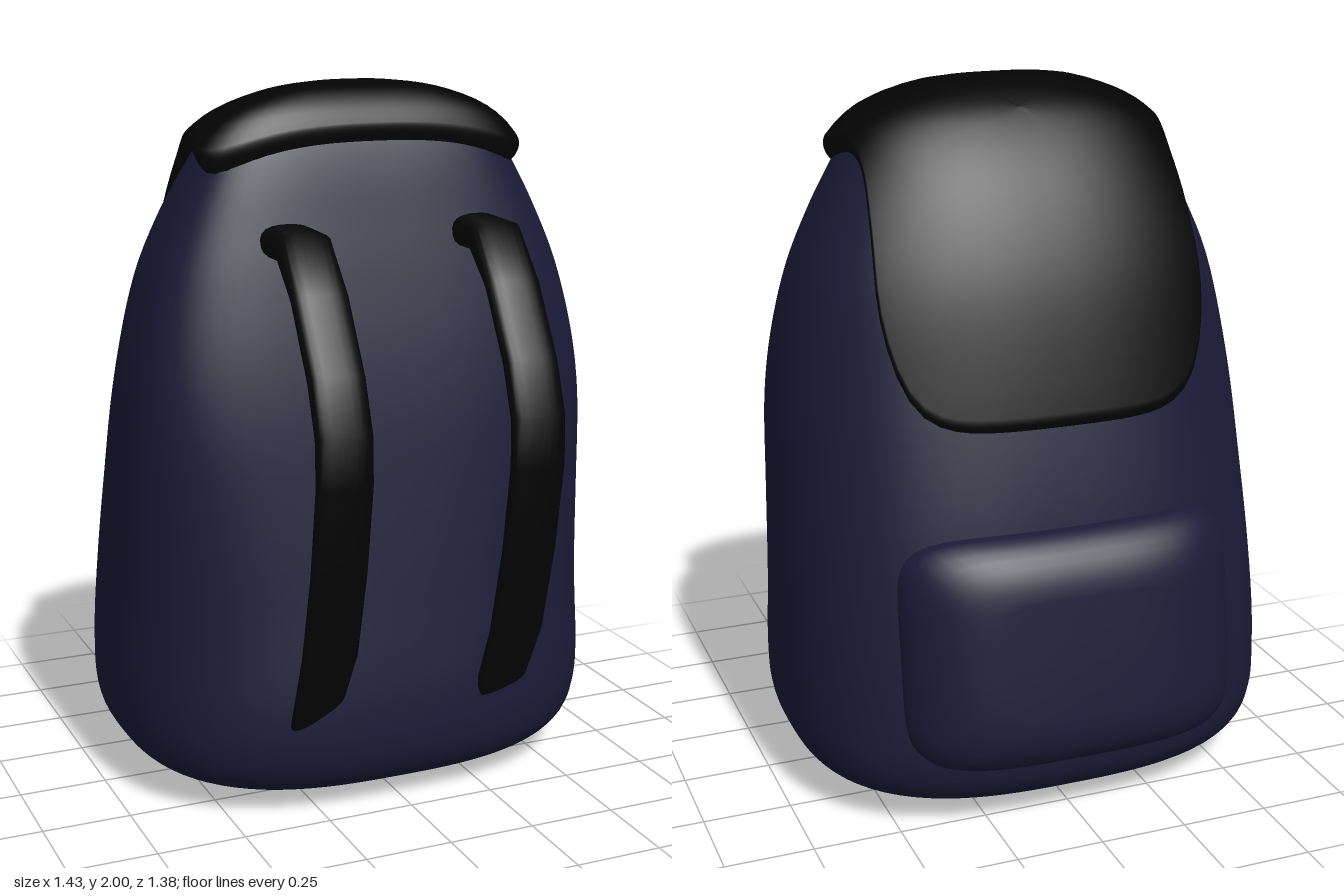
import * as THREE from 'three';
import { toCreasedNormals } from 'three/addons/utils/BufferGeometryUtils.js';

const V = (x, y, z) => new THREE.Vector3(x, y, z);

// Unit superellipse point at angle a: higher n is boxier
function squircle(a, n) {
  const c = Math.cos(a), s = Math.sin(a);
  const k = Math.pow(Math.abs(c) ** n + Math.abs(s) ** n, -1 / n);
  return [c * k, s * k];
}

// Skin over closed rings of points
function loft(rings) {
  const m = rings[0].length, pos = [], idx = [];
  rings.forEach(r => r.forEach(p => pos.push(p.x, p.y, p.z)));
  for (let i = 0; i < rings.length - 1; i++) {
    for (let j = 0; j < m; j++) {
      const a = i * m + j, b = i * m + (j + 1) % m, c = a + m, d = b + m;
      idx.push(a, c, b, b, c, d);
    }
  }
  const g = new THREE.BufferGeometry();
  g.setAttribute('position', new THREE.Float32BufferAttribute(pos, 3));
  g.setIndex(idx);
  g.computeVertexNormals();
  return g;
}

// Bag cross-sections: height, half width, front z, back z
const ROWS = [
  [0.003, 0, -0.04, -0.04], [0.009, 0.22, 0.14, -0.22], [0.023, 0.4, 0.29, -0.38],
  [0.055, 0.56, 0.41, -0.5], [0.11, 0.66, 0.475, -0.575], [0.2, 0.705, 0.5, -0.6],
  [0.35, 0.715, 0.495, -0.588], [0.6, 0.705, 0.46, -0.557], [0.85, 0.693, 0.425, -0.52],
  [1.1, 0.68, 0.39, -0.467], [1.3, 0.652, 0.355, -0.416], [1.48, 0.608, 0.316, -0.364],
  [1.63, 0.547, 0.28, -0.305], [1.75, 0.485, 0.25, -0.243], [1.84, 0.43, 0.222, -0.178],
  [1.9, 0.355, 0.195, -0.118], [1.945, 0.235, 0.15, -0.04], [1.963, 0.11, 0.1, 0.02],
  [1.967, 0, 0.06, 0.06],
];
const rise = y => THREE.MathUtils.smoothstep(y, 0.4, 1.3);
// Higher up, the front is flatter and the back rounder
const boxiness = (y, front) => 2.8 + (front ? 0.7 : -0.35) * rise(y);
const curveA = new THREE.CatmullRomCurve3(ROWS.map(r => V(r[1], r[0], r[2])), false, 'catmullrom');
const curveB = new THREE.CatmullRomCurve3(ROWS.map(r => V(r[3], r[0], 0)), false, 'catmullrom');
const SECTIONS = [];
for (let i = 0; i <= 108; i++) {
  const a = curveA.getPoint(i / 108), b = curveB.getPoint(i / 108);
  const zc = (a.z + b.x) / 2 + 0.11 * (a.z - b.x) * rise(a.y);
  SECTIONS.push({ y: a.y, w: Math.max(a.x, 0), zc, front: Math.max(a.z - zc, 0), back: Math.max(zc - b.x, 0) });
}

function insideBody(p) {
  const i = SECTIONS.findIndex(s => s.y > p.y);
  if (i < 1) return false;
  const s = SECTIONS[i - 1], e = SECTIONS[i], t = (p.y - s.y) / (e.y - s.y);
  const mix = k => s[k] + (e[k] - s[k]) * t;
  const dz = p.z - mix('zc');
  const x = Math.abs(p.x) / Math.max(mix('w'), 1e-4);
  const z = Math.abs(dz) / Math.max(mix(dz > 0 ? 'front' : 'back'), 1e-4);
  const n = boxiness(p.y, dz > 0);
  return x ** n + z ** n < 1;
}

// Point at a given height above the bag surface along a ray
function onBody(origin, dir, lift) {
  let lo = 0, hi = 1.3;
  for (let k = 0; k < 26; k++) {
    const mid = (lo + hi) / 2;
    if (insideBody(origin.clone().addScaledVector(dir, mid))) lo = mid; else hi = mid;
  }
  return origin.clone().addScaledVector(dir, lo + lift);
}

// Padded panel hugging the bag; ray(u, v) gives origin, direction and padding factor
function panel(ray, n, thick, k) {
  const steps = [];
  for (let i = 0; i <= 16; i++) steps.push([k * i / 16, thick]);
  for (let i = 1; i <= 8; i++) {
    const a = i / 8 * Math.PI / 2;
    steps.push([k + (1 - k) * Math.sin(a), thick * Math.cos(a)]);
  }
  steps.push([1, -0.025]);
  return loft(steps.map(([r, lift]) => Array.from({ length: 96 }, (_, j) => {
    const [u, v] = squircle(j / 96 * Math.PI * 2, n);
    const { origin, dir, pad } = ray(r * u, r * v);
    return onBody(origin, dir, lift * pad);
  })));
}

// Flat strap along a bent path, with slanted lower end
function strapGeometry(slant) {
  const path = [[0.2, 1.593], [0.385, 1.588], [0.495, 1.472], [0.605, 1.28], [0.655, 1.14],
    [0.66, 1.01], [0.622, 0.76], [0.56, 0.51], [0.475, 0.325]].map(([z, y]) => V(0, y, z));
  const X = V(1, 0, 0), last = path.length - 1;
  const rings = path.map((p, i) => {
    const d = path[Math.min(i + 1, last)].clone().sub(path[Math.max(i - 1, 0)]).normalize();
    const nrm = X.clone().cross(d);
    const half = i < 2 ? 0.048 : 0.029;
    return Array.from({ length: 24 }, (_, j) => {
      const [u, v] = squircle(j / 24 * Math.PI * 2, 2.6);
      const q = p.clone().addScaledVector(X, u * 0.079).addScaledVector(nrm, v * half);
      if (i === last) q.y += u * 0.079 * slant;
      return q;
    });
  });
  rings.unshift(rings[0].map(() => path[0].clone()));
  rings.push(rings[last + 1].map(() => path[last].clone()));
  return toCreasedNormals(loft(rings), 0.9);
}

export function createModel() {
  const navy = new THREE.MeshStandardMaterial({ color: 0x1a1a37 });
  navy.name = 'navy fabric';
  const black = new THREE.MeshStandardMaterial({ color: 0x030303 });
  black.name = 'black fabric';
  const model = new THREE.Group();
  model.name = 'backpack';
  const add = (name, geometry, material) => {
    const mesh = new THREE.Mesh(geometry, material);
    mesh.name = name;
    model.add(mesh);
    return mesh;
  };

  // Main bag
  add('bag', loft(SECTIONS.map(s => Array.from({ length: 96 }, (_, j) => {
    const a = j / 96 * Math.PI * 2, isFront = j < 48;
    const [u, v] = squircle(a, boxiness(s.y, isFront));
    return V(u * s.w, s.y, s.zc + v * (isFront ? s.front : s.back));
  }))), navy);

  // Lid flap: runs from the front edge over the top and down the back
  const line = pts => new THREE.CatmullRomCurve3(pts.map(([z, y]) => V(0, y, z)), false, 'catmullrom');
  const middle = line([[0.225, 1.855], [0.17, 1.95], [0.04, 1.97], [-0.12, 1.89],
    [-0.28, 1.68], [-0.38, 1.45], [-0.47, 1.12]]);
  const side = line([[0.19, 1.715], [0.11, 1.8], [0, 1.845], [-0.12, 1.79],
    [-0.22, 1.62], [-0.3, 1.4], [-0.4, 1.13]]);
  add('lidFlap', panel((u, v) => {
    const t = (v + 1) / 2, origin = V(0, 1.3, 0);
    const target = middle.getPoint(t).lerp(side.getPoint(t), u * u);
    target.x = u * (0.49 - 0.05 * t) + 0.012 * t;
    return { origin, dir: target.sub(origin).normalize(), pad: 1 + 0.5 * u ** 4 };
  }, 7, 0.035, 0.95), black);

  // Back pocket
  add('backPocket', panel((u, v) => ({
    origin: V(u * 0.488, 0.525 - v * 0.325, 0), dir: V(0, 0, -1), pad: 1,
  }), 6, 0.1, 0.55), navy);

  // Shoulder straps
  add('rightStrap', strapGeometry(0.5), black).position.x = -0.275;
  add('leftStrap', strapGeometry(0.3), black).position.x = 0.288;

  return model;
}
